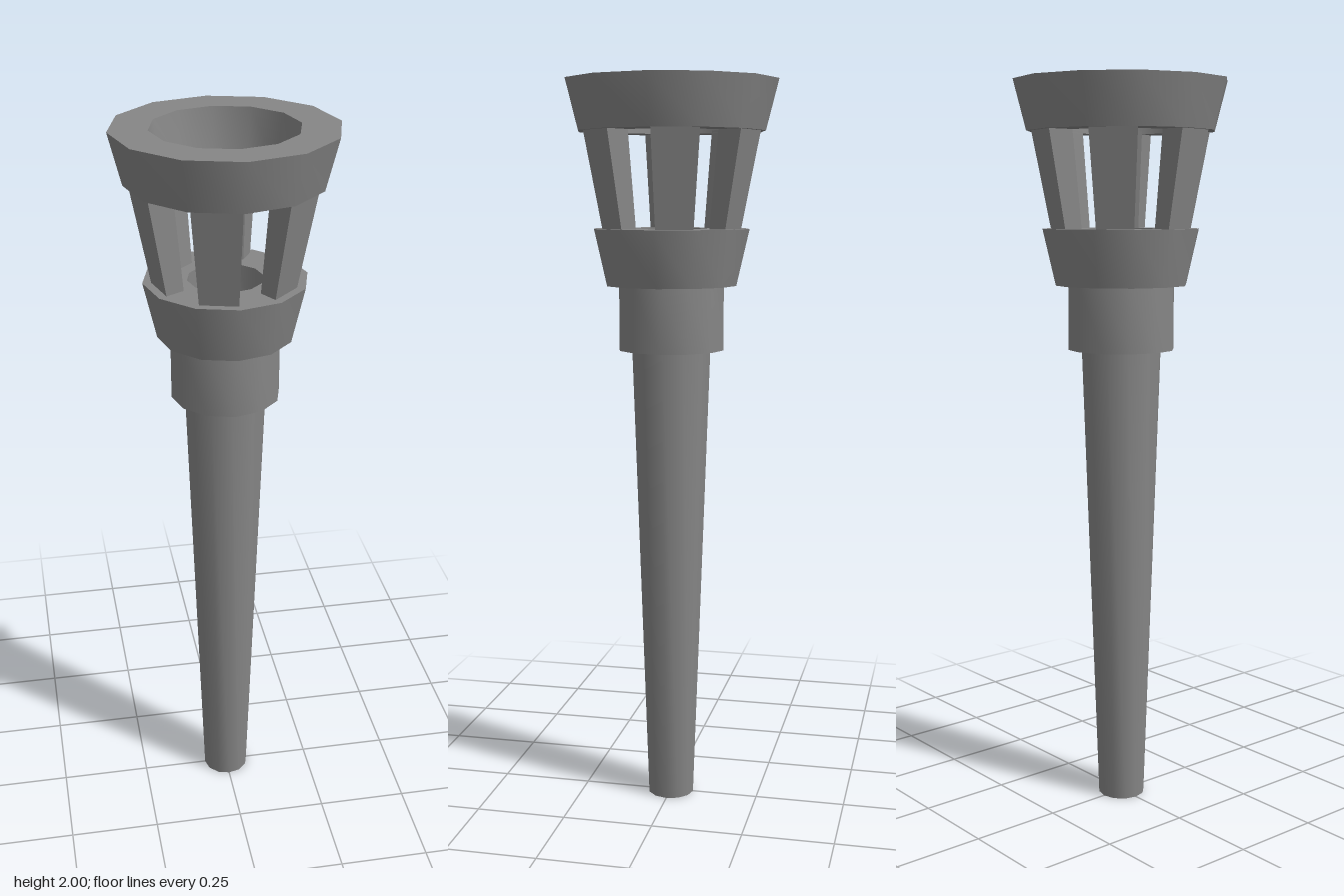
import * as THREE from 'three';
import { toCreasedNormals } from 'three/addons/utils/BufferGeometryUtils.js';

const SIDES = 12;
const STEP = (Math.PI * 2) / SIDES;
const material = new THREE.MeshStandardMaterial({ color: 0x868686 });

// Turned twelve-sided part; profile is [radius, height], outside upward
function turned(name, profile) {
  const points = profile.map(([r, y]) => new THREE.Vector2(r, y));
  const geometry = toCreasedNormals(new THREE.LatheGeometry(points, SIDES), 0.7);
  const mesh = new THREE.Mesh(geometry, material);
  mesh.name = name;
  return mesh;
}

// Slanted slat filling one side of the twelve-sided cage
function slat(index) {
  const low = { y: 1.6, inner: 0.136, outer: 0.19 };
  const high = { y: 1.875, inner: 0.167, outer: 0.244 };
  const geometry = new THREE.BoxGeometry(1, 1, 1);
  const pos = geometry.attributes.position;
  const middle = (1.5 + index * 2) * STEP;
  for (let i = 0; i < pos.count; i++) {
    const end = pos.getY(i) > 0 ? high : low;
    const r = pos.getZ(i) > 0 ? end.outer : end.inner;
    const angle = middle + pos.getX(i) * STEP;
    pos.setXYZ(i, r * Math.sin(angle), end.y, r * Math.cos(angle));
  }
  geometry.computeVertexNormals();
  const mesh = new THREE.Mesh(geometry, material);
  mesh.name = 'slat' + (index + 1);
  return mesh;
}

export function createModel() {
  const group = new THREE.Group();
  group.name = 'torch';

  // Tapered handle and its collar
  group.add(turned('handle', [[0, 0], [0.065, 0], [0.11, 1.29], [0, 1.29]]));
  group.add(turned('collar', [[0, 1.283], [0.146, 1.283], [0.146, 1.46], [0, 1.46]]));

  // Lower cup with a round recess
  group.add(turned('cup', [
    [0, 1.458], [0.18, 1.458], [0.215, 1.61], [0.1, 1.61], [0.1, 1.47], [0, 1.47],
  ]));

  // Cage of six slats
  const cage = new THREE.Group();
  cage.name = 'cage';
  for (let i = 0; i < 6; i++) cage.add(slat(i));
  group.add(cage);

  // Open rim ring
  group.add(turned('rim', [
    [0.166, 1.867], [0.256, 1.867], [0.29, 2], [0.19, 2], [0.166, 1.867],
  ]));
  return group;
}
